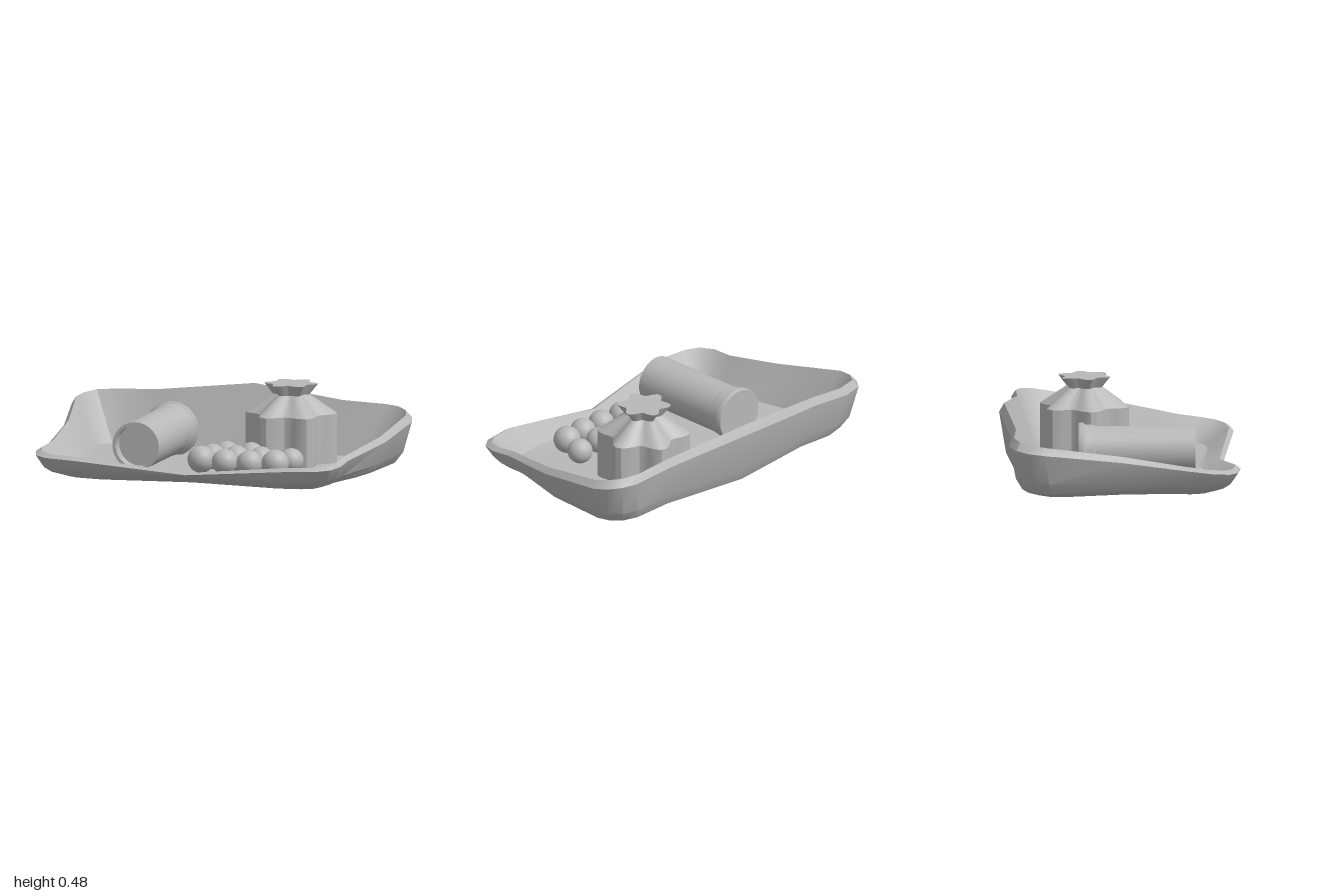
import * as THREE from 'three';
import { toCreasedNormals } from 'three/addons/utils/BufferGeometryUtils.js';

const grey = new THREE.MeshStandardMaterial({ color: 0xb8b8b8 });
grey.name = 'plain grey';

// Skin between closed rings of [x, y, z] points, ordered clockwise seen from above
function loft(rings, crease) {
  const pos = [];
  const tri = (a, b, c) => {
    const [p, q, r] = [a, b, c].map((v) => new THREE.Vector3(...v));
    if (q.sub(p).cross(r.sub(p)).length() > 1e-9) pos.push(...a, ...b, ...c);
  };
  for (let i = 0; i < rings.length - 1; i++) {
    const lo = rings[i], hi = rings[i + 1], n = lo.length;
    for (let j = 0; j < n; j++) {
      const k = (j + 1) % n;
      tri(lo[k], lo[j], hi[j]);
      tri(lo[k], hi[j], hi[k]);
    }
  }
  const geo = new THREE.BufferGeometry();
  geo.setAttribute('position', new THREE.Float32BufferAttribute(pos, 3));
  return toCreasedNormals(geo, crease);
}

function add(group, name, geo, x = 0, y = 0, z = 0) {
  const mesh = new THREE.Mesh(geo, grey);
  mesh.name = name;
  mesh.position.set(x, y, z);
  group.add(mesh);
  return mesh;
}

// Tray: wavy rim outline as [x, z, height], carried down to the base and the floor
function trayGeometry() {
  const rim = [
    [0, -0.67, 0.39], [0.56, -0.585, 0.335], [0.82, -0.59, 0.325], [0.91, -0.56, 0.32],
    [0.97, -0.5, 0.31], [0.995, -0.42, 0.295], [0.975, -0.02, 0.235], [0.88, 0.36, 0.175],
    [0.88, 0.48, 0.16], [0.85, 0.57, 0.15], [0.78, 0.62, 0.145], [0.62, 0.645, 0.14],
    [0, 0.58, 0.07],
    [-0.62, 0.665, 0.14], [-0.8, 0.64, 0.145], [-0.87, 0.595, 0.15], [-0.9, 0.5, 0.16],
    [-0.88, 0.36, 0.175], [-0.905, 0, 0.235], [-1, -0.43, 0.3], [-0.985, -0.52, 0.31],
    [-0.93, -0.59, 0.32], [-0.8, -0.625, 0.325], [-0.57, -0.61, 0.335],
  ];
  const ring = (s, height) => rim.map(([x, z, h]) => [x * (1 - 0.17 * s), height(h), z * (1 - 0.23 * s)]);
  const centre = (y) => rim.map(() => [0, y, 0]);
  return loft([
    centre(0),
    ring(1, () => 0),
    ring(0.5, () => 0.03),
    ring(0.25, (h) => 0.03 + h * 0.2),
    ring(0, (h) => h * 0.87),
    ring(0.18, (h) => h),
    ring(0.75, (h) => 0.04 + (h - 0.04) * 0.3),
    ring(1, () => 0.04),
    centre(0.04),
  ], 0.5);
}

// Tied bag: six-lobed sections, pinched at the neck and flared at the top
function bagGeometry() {
  const n = 48;
  const ring = (r, wave, y) => Array.from({ length: n }, (_, i) => {
    const a = (i / n) * Math.PI * 2;
    const d = r + wave * Math.cos(6 * (a + Math.PI / 18));
    return [d * Math.cos(a), y, d * Math.sin(a)];
  });
  return loft([
    ring(0, 0, 0.04), ring(0.225, 0.035, 0.04), ring(0.225, 0.035, 0.315),
    ring(0.09, 0.014, 0.42), ring(0.13, 0.022, 0.48), ring(0, 0, 0.48),
  ], 0.45);
}

// Jar lying on its side: flanged at the back, recessed at the front
function jarGeometry() {
  const profile = [
    [0, -0.235], [0.15, -0.235], [0.155, -0.225], [0.155, -0.205], [0.145, -0.198],
    [0.141, -0.145], [0.136, -0.14], [0.136, 0.415], [0.118, 0.415], [0.118, 0.35], [0, 0.35],
  ].map(([r, y]) => new THREE.Vector2(r, y));
  return toCreasedNormals(new THREE.LatheGeometry(profile, 40).rotateX(Math.PI / 2), 0.6);
}

export function createModel() {
  const model = new THREE.Group();
  model.name = 'trayWithContents';

  add(model, 'tray', trayGeometry());
  add(model, 'bag', bagGeometry(), 0.365, 0, -0.19);
  add(model, 'jar', jarGeometry(), -0.345, 0.18, 0);

  // Balls on the tray floor: [x, z, radius]
  const balls = new THREE.Group();
  balls.name = 'balls';
  model.add(balls);
  [
    [0.07, 0.06, 0.07], [0.215, 0.06, 0.07],
    [0.03, 0.185, 0.071], [0.175, 0.205, 0.072], [0.32, 0.205, 0.072], [0.49, 0.185, 0.07],
    [0.01, 0.33, 0.076], [0.155, 0.35, 0.072], [0.3, 0.35, 0.072], [0.445, 0.33, 0.076],
  ].forEach(([x, z, r]) => add(balls, 'ball', new THREE.SphereGeometry(r, 24, 16), x, 0.037 + r, z));

  return model;
}
